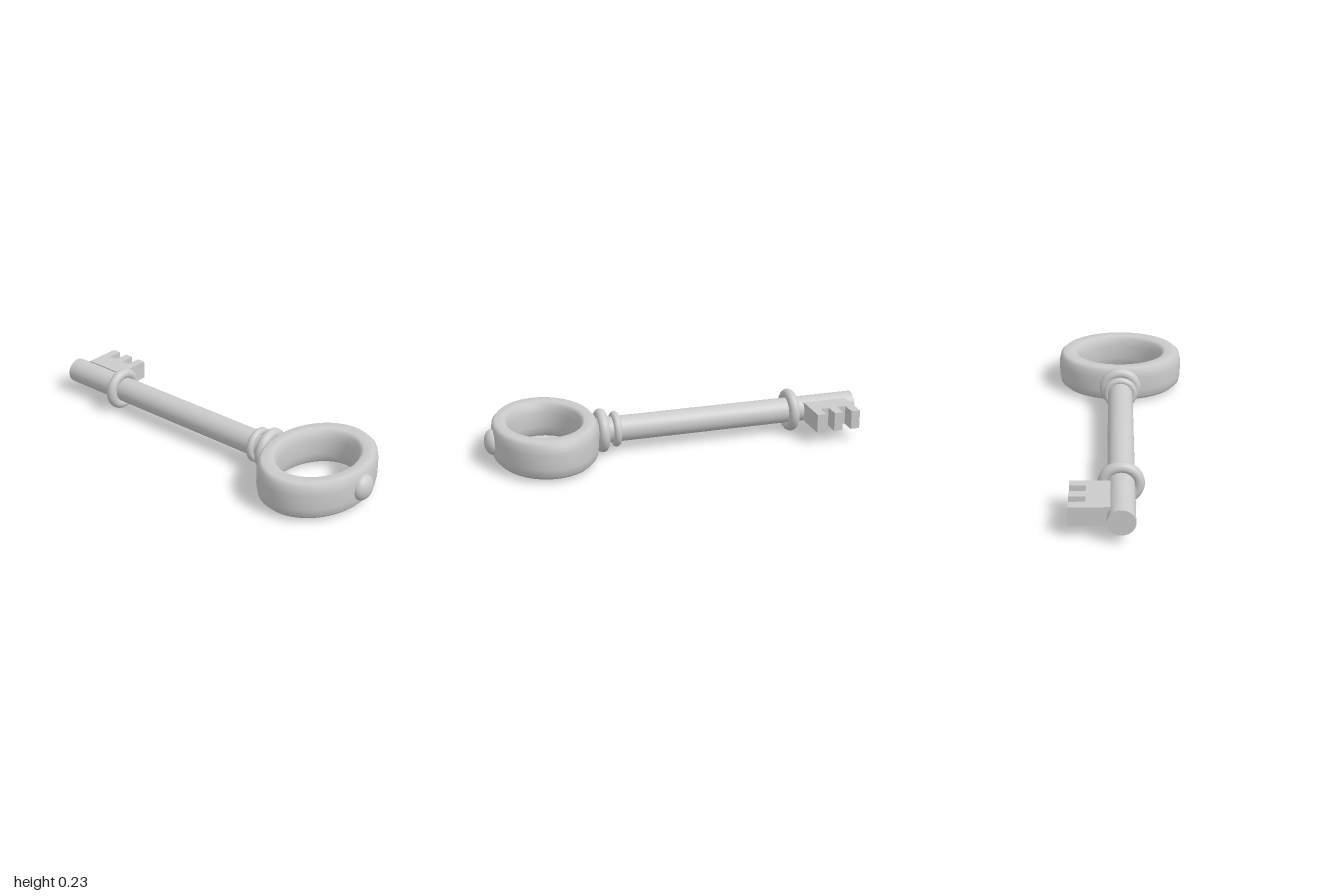
import * as THREE from 'three';

const AXIS_Y = 0.116;

export function createModel() {
  const key = new THREE.Group();
  key.name = 'key';
  const material = new THREE.MeshStandardMaterial({ color: 0xcccccc });

  const add = (name, geometry, x, y, z) => {
    const mesh = new THREE.Mesh(geometry, material);
    mesh.name = name;
    mesh.position.set(x, y, z);
    key.add(mesh);
    return mesh;
  };

  // Bow: rounded band swept around, then stretched sideways into an oval
  const half = [[-1, 0], [-1, -0.4], [-0.86, -0.82], [-0.53, -1], [0.53, -1], [0.86, -0.82], [1, -0.4]];
  const upper = half.slice(1).reverse().map(([u, v]) => [u, -v]);
  const profile = [...half, ...upper, [-1, 0]]
    .map(([u, v]) => new THREE.Vector2(0.2255 + u * 0.0445, v * 0.0975));
  const bow = new THREE.LatheGeometry(profile, 64);
  bow.scale(1.28, 1, 1);
  add('bow', bow, 0, AXIS_Y, 0.69);

  // Flattened knob on the end of the bow
  const knob = new THREE.SphereGeometry(0.067, 32, 20);
  knob.scale(1, 1, 0.68);
  add('knob', knob, 0, AXIS_Y + 0.002, 0.9545);

  // Shaft
  const shaft = new THREE.CylinderGeometry(0.067, 0.067, 1.45, 40);
  shaft.rotateX(Math.PI / 2);
  add('shaft', shaft, 0, AXIS_Y, -0.275);

  // Collars: z, outer radius, tube radius
  const collars = [
    ['bowCollar', 0.396, 0.114, 0.028],
    ['smallCollar', 0.322, 0.093, 0.02],
    ['bitCollar', -0.643, 0.114, 0.028],
  ];
  for (const [name, z, outer, tube] of collars) {
    add(name, new THREE.TorusGeometry(outer - tube, tube, 16, 48), 0, AXIS_Y, z);
  }

  // Bit: plate with three teeth
  const step = 0.048;
  const outline = new THREE.Shape();
  outline.moveTo(0.05, 0);
  for (let i = 0; i < 5; i++) {
    const x = i % 2 === 0 ? 0.245 : 0.165;
    outline.lineTo(x, i * step);
    outline.lineTo(x, (i + 1) * step);
  }
  outline.lineTo(0.05, 5 * step);
  const bit = new THREE.ExtrudeGeometry(outline, { depth: 0.1, bevelEnabled: false });
  bit.translate(0, 0, -0.05);
  bit.rotateX(-Math.PI / 2);
  add('bit', bit, 0, AXIS_Y + 0.002, -0.708);

  return key;
}
